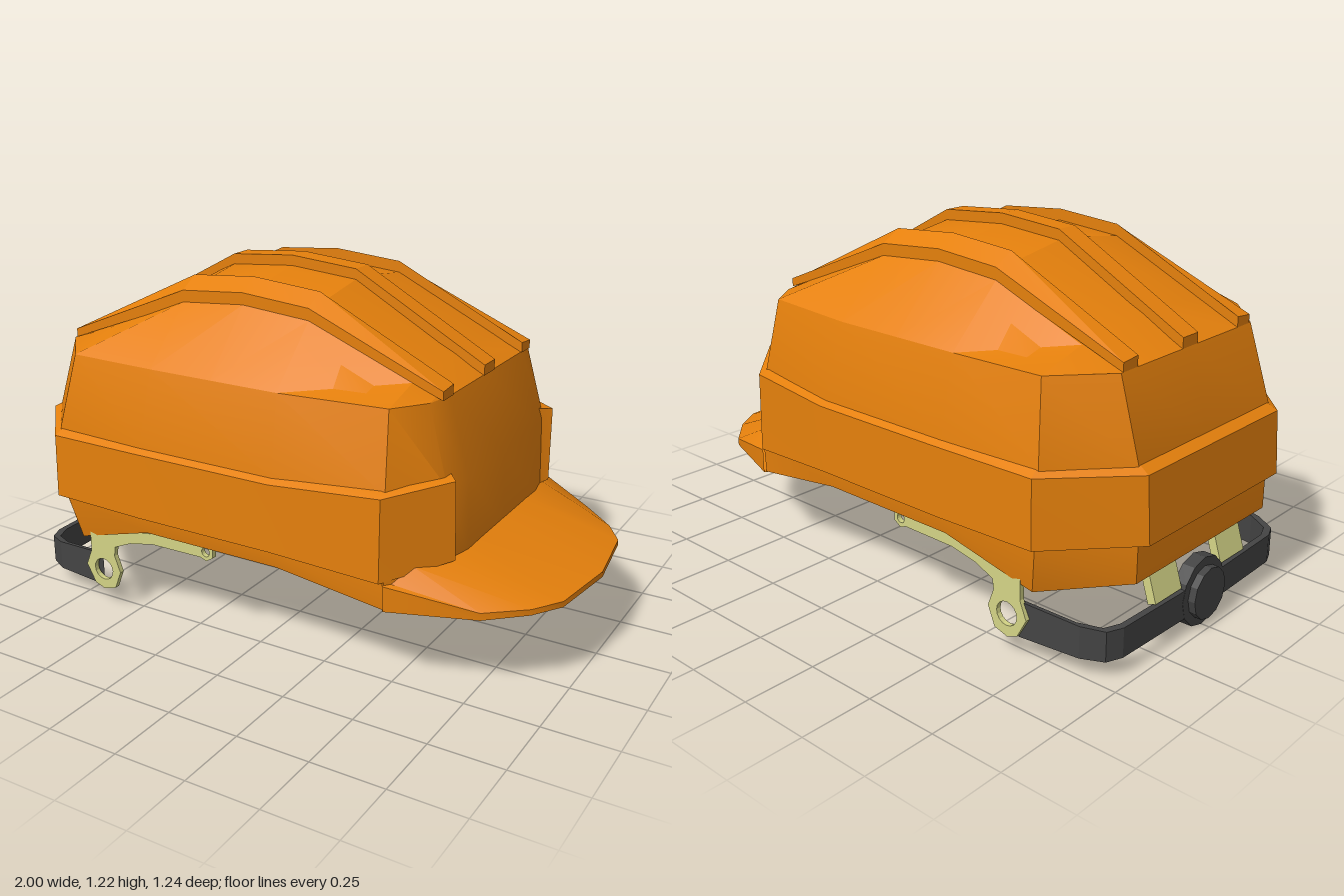
import * as THREE from 'three';
import { toCreasedNormals } from 'three/addons/utils/BufferGeometryUtils.js';

const mat = (color) => new THREE.MeshStandardMaterial({ color, side: THREE.DoubleSide });

// Surface through rows of [x, y, z] points
function grid(rows, crease = 0.4) {
  const n = rows[0].length, index = [];
  for (let i = 0; i < rows.length - 1; i++) {
    for (let j = 0; j < n - 1; j++) {
      const a = i * n + j, b = a + 1, d = a + n, c = d + 1;
      index.push(a, b, d, b, c, d);
    }
  }
  const g = new THREE.BufferGeometry();
  g.setAttribute('position', new THREE.Float32BufferAttribute(rows.flat(2), 3));
  g.setIndex(index);
  return toCreasedNormals(g.toNonIndexed(), crease);
}

const flip = ([x, y, z]) => [x, y, -z];
// Path from the +z end round to its mirror image
const mirrorEnd = (half) => [...half, ...half.map(flip).reverse()];
// Closed ring from a half starting at the front centre and ending at the back centre
const ring = (half) => [...half, ...half.slice(0, -1).map(flip).reverse()];
// Path mirrored about its first point, running from -z to +z
const mirrorStart = (half) => [...half.slice(1).map(flip).reverse(), ...half];
const inset = (y) => (p) => [p[0] * 0.97, p[1] - y, p[2] * 0.97];

export function createModel() {
  const model = new THREE.Group();
  const orange = mat(0xe5800c), pale = mat(0xd4d486), dark = mat(0x444444);
  const add = (name, geometry, material) => {
    const mesh = new THREE.Mesh(geometry, material);
    mesh.name = name;
    model.add(mesh);
    return mesh;
  };

  // Shell wall: outer rings downward, then inner rings back up
  const at = (y, pts) => pts.map(([x, z]) => [x, y, z]);
  const outer = [
    at(0.905, [[0.57, 0], [0.57, 0.28], [0.55, 0.38], [0.47, 0.49], [0.1, 0.53], [-0.39, 0.53], [-0.72, 0.52], [-0.87, 0.35], [-0.87, 0]]),
    at(0.65, [[0.64, 0], [0.64, 0.28], [0.62, 0.39], [0.49, 0.545], [0.12, 0.595], [-0.4, 0.595], [-0.76, 0.575], [-0.95, 0.36], [-0.95, 0]]),
    at(0.395, [[0.65, 0], [0.65, 0.28], [0.63, 0.4], [0.5, 0.565], [0.12, 0.59], [-0.4, 0.59], [-0.75, 0.575], [-0.96, 0.36], [-0.96, 0]]),
    [[0.65, 0.28, 0], [0.65, 0.28, 0.28], [0.63, 0.28, 0.4], [0.5, 0.28, 0.56], [0.12, 0.34, 0.58], [-0.4, 0.34, 0.58],
      [-0.72, 0.24, 0.545], [-0.96, 0.28, 0.36], [-0.96, 0.28, 0]],
  ].map(ring);
  const inner = outer.map((r, i) => r.map(inset(i === 0 ? 0.03 : 0))).reverse();
  add('shellWall', grid([...outer, outer[3].map(inset(0))], 0.5), orange);
  add('shellLining', grid(inner, 1), orange);

  // Dome: cross-sections along x [x, centre y, y at z .27, y at z .34, edge z]
  const dome = [
    [-0.87, 0.905, 0.905, 0.905, 0.35],
    [-0.72, 0.99, 0.975, 0.955, 0.52],
    [-0.39, 1.17, 1.13, 1.09, 0.53],
    [-0.15, 1.19, 1.15, 1.11, 0.53],
    [0.1, 1.17, 1.13, 1.09, 0.53],
    [0.47, 0.965, 0.955, 0.945, 0.49],
    [0.55, 0.918, 0.915, 0.912, 0.38],
    [0.57, 0.905, 0.905, 0.905, 0.28],
  ].map(([x, a, b, c, z]) => mirrorStart([[x, a, 0], [x, b, 0.27], [x, c, Math.min(0.34, z)], [x, 0.905, z]]));
  add('dome', grid(dome, 0.3), orange);
  add('domeLining', grid(dome.map((r) => r.map(inset(0.03)).reverse()), 1), orange);

  // Raised ribs over the dome; the side ribs slope outwards
  function rib(name, z0, z1, top, slope) {
    const line = [[-0.87, 0.94], [-0.39, top - 0.02], [-0.15, top], [0.1, top - 0.02], [0.575, 0.94]];
    const under = line.map(([x, y]) => [x, Math.max(0.905, y - 0.05)]).reverse();
    const shape = new THREE.Shape([...line, ...under].map(([x, y]) => new THREE.Vector2(x, y)));
    const g = new THREE.ExtrudeGeometry(shape, { depth: z1 - z0, bevelEnabled: false });
    g.translate(0, 0, z0);
    const p = g.attributes.position;
    for (let i = 0; i < p.count; i++) {
      const rise = THREE.MathUtils.clamp((p.getY(i) - 0.9) / 0.25, 0, 1);
      p.setY(i, p.getY(i) - slope * rise * (Math.abs(p.getZ(i)) - 0.27));
    }
    add(name, toCreasedNormals(g, 0.3), orange);
  }
  rib('centreRib', -0.04, 0.04, 1.22, 0);
  rib('leftRib', 0.27, 0.34, 1.19, 0.57);
  rib('rightRib', -0.34, -0.27, 1.19, 0.57);

  // Band round the sides and back with a chamfered underside, ending in raised tabs at the front corners
  const bandTopIn = [[0.615, 0.685, 0.355], [0.47, 0.67, 0.53], [0.12, 0.655, 0.585], [-0.4, 0.655, 0.585], [-0.75, 0.655, 0.565], [-0.94, 0.655, 0.35]];
  const bandTop = [[0.652, 0.68, 0.397], [0.49, 0.65, 0.575], [0.12, 0.637, 0.62], [-0.4, 0.637, 0.62], [-0.76, 0.632, 0.605], [-0.985, 0.63, 0.36]];
  const bandLow = [[0.655, 0.415, 0.387], [0.49, 0.375, 0.58], [0.12, 0.41, 0.622], [-0.4, 0.41, 0.622], [-0.765, 0.41, 0.607], [-1, 0.415, 0.36]];
  const bandLowIn = [[0.635, 0.41, 0.345], [0.48, 0.362, 0.55], [0.12, 0.395, 0.58], [-0.4, 0.395, 0.58], [-0.74, 0.395, 0.565], [-0.95, 0.4, 0.35]];
  add('band', grid([bandTopIn, bandTop, bandLow, bandLowIn].map(mirrorEnd), 0.35), orange);
  const cap = [[bandTopIn[0], bandTop[0]], [bandLowIn[0], bandLow[0]]];
  add('leftBandEnd', grid(cap), orange);
  add('rightBandEnd', grid(cap.map((r) => r.map(flip).reverse())), orange);

  // Brim
  const brimEdge = [[1, 0.3, 0], [0.965, 0.3, 0.26], [0.9, 0.3, 0.36], [0.78, 0.305, 0.47], [0.5, 0.365, 0.57]];
  add('brim', grid([
    [[0.64, 0.415, 0], [0.64, 0.415, 0.2], [0.63, 0.415, 0.37], [0.56, 0.415, 0.49], [0.48, 0.375, 0.555]],
    brimEdge,
    brimEdge.map(([x, , z]) => [x, 0.28, z]),
    [[0.63, 0.28, 0], [0.63, 0.28, 0.27], [0.61, 0.28, 0.388], [0.56, 0.28, 0.45], [0.485, 0.28, 0.543]],
  ].map(mirrorStart), 0.5), orange);

  // Side hangers with a large and a small eyelet
  const v = (x, y) => new THREE.Vector2(x, y);
  const hanger = new THREE.Shape([
    v(-0.68, 0.3), v(-0.68, 0.2), v(-0.705, 0.14), v(-0.67, 0.075), v(-0.63, 0.06), v(-0.58, 0.075), v(-0.553, 0.14),
    v(-0.575, 0.2), v(-0.57, 0.235), v(-0.5, 0.265), v(-0.4, 0.285), v(-0.2, 0.287), v(-0.175, 0.278),
    v(-0.148, 0.295), v(-0.148, 0.325), v(-0.175, 0.342), v(-0.205, 0.328), v(-0.4, 0.325), v(-0.55, 0.3),
  ]);
  for (const [x, y, r] of [[-0.628, 0.137, 0.04], [-0.177, 0.31, 0.016]]) {
    hanger.holes.push(new THREE.Path().absarc(x, y, r, 0, Math.PI * 2, true));
  }
  const hangerGeo = new THREE.ExtrudeGeometry(hanger, { depth: 0.018, bevelEnabled: false, curveSegments: 8 });
  for (const [name, z] of [['leftHanger', 0.535], ['rightHanger', -0.553]]) {
    add(name, hangerGeo, pale).position.z = z;
  }

  // Nape strap [x, z, bottom y, top y]
  const strap = [[-0.67, 0.543, 0.07, 0.19], [-0.87, 0.508, 0.062, 0.168], [-0.94, 0.47, 0.06, 0.16], [-0.962, 0.415, 0.06, 0.16], [-0.97, 0.1, 0.06, 0.16]];
  const strapRow = (k, d) => mirrorEnd(strap.map((s) => [s[0] + d, s[k], s[1] - d * 0.6]));
  add('napeStrap', grid([strapRow(3, 0), strapRow(2, 0), strapRow(2, 0.022), strapRow(3, 0.022), strapRow(3, 0)], 0.3), dark);

  // Adjuster knob
  for (const [name, r, depth, x] of [['knobBase', 0.118, 0.045, -0.948], ['knobDial', 0.088, 0.03, -0.98]]) {
    const g = new THREE.CylinderGeometry(r, r, depth, 12).rotateZ(Math.PI / 2);
    add(name, toCreasedNormals(g.toNonIndexed(), 0.3), dark).position.set(x, 0.118, 0);
  }

  // Rear hangers between the strap and the shell
  for (const [name, s] of [['leftRearHanger', 1], ['rightRearHanger', -1]]) {
    const g = new THREE.BoxGeometry(0.03, 0.14, 0.14).rotateZ(-0.3);
    add(name, g, pale).position.set(-0.925, 0.23, 0.182 * s);
  }
  return model;
}
